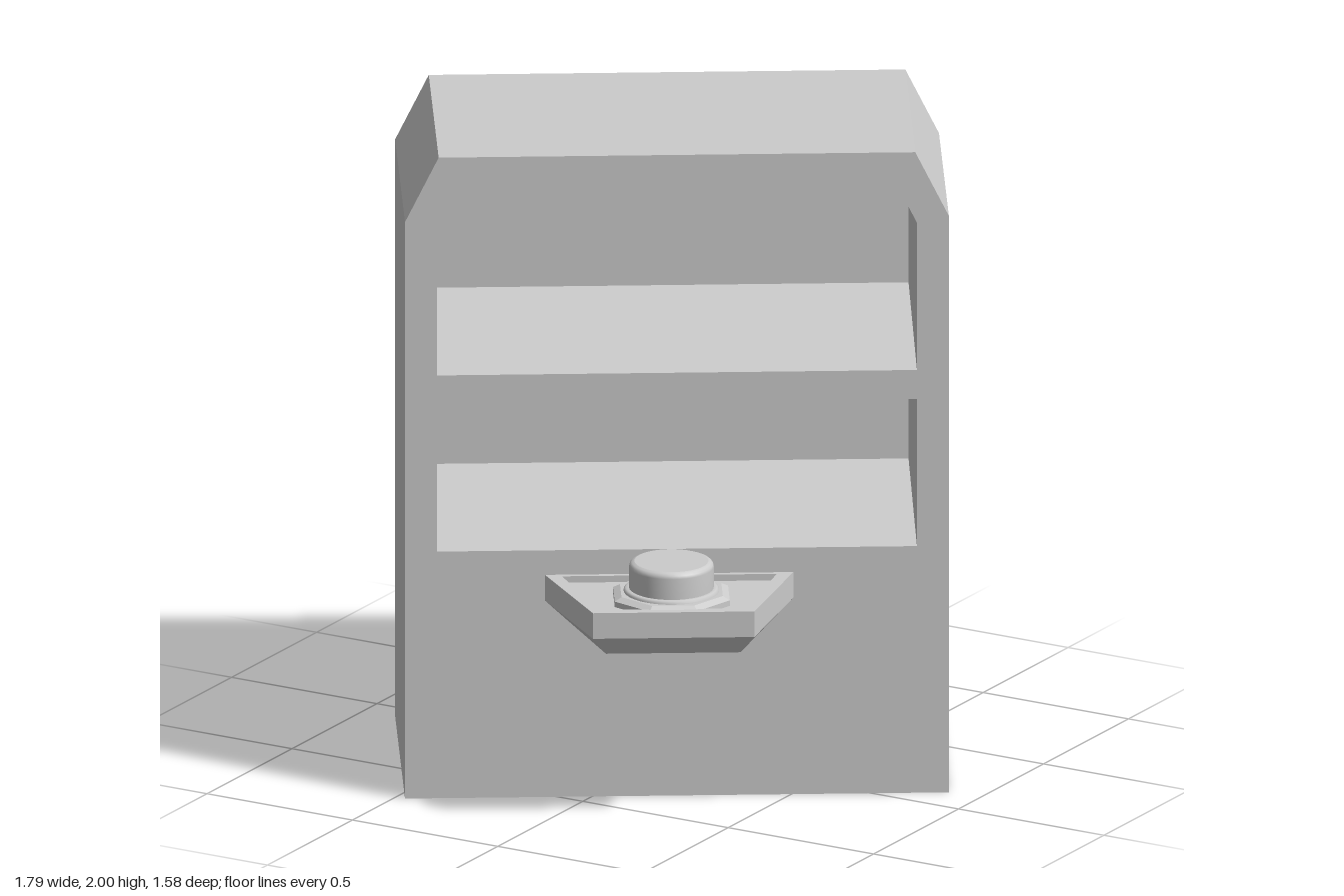
import * as THREE from 'three';

const material = new THREE.MeshStandardMaterial({ color: 0xcccccc, flatShading: true });
const smooth = new THREE.MeshStandardMaterial({ color: 0xcccccc });

const W = 0.808, BACK = -0.397, FRONT = 0.397, RECESS = -0.275;

function add(group, name, geometry, mat = material) {
  const mesh = new THREE.Mesh(geometry, mat);
  mesh.name = name;
  group.add(mesh);
  return mesh;
}

// Upright rectangle whose two top corners may be cut off
function panel(Type, half, y0, y1, cutX = 0, cutY = 0) {
  const points = [[-half, y0], [half, y0]];
  if (cutX) points.push([half, y1 - cutY], [half - cutX, y1], [cutX - half, y1], [-half, y1 - cutY]);
  else points.push([half, y1], [-half, y1]);
  return new Type(points.map(([x, y]) => new THREE.Vector2(x, y)));
}

function extrude(shape, z0, z1) {
  return new THREE.ExtrudeGeometry(shape, { depth: z1 - z0, bevelEnabled: false }).translate(0, 0, z0);
}

// Joins trapezoid rings [y, back half width, front half width, back z, front z] with flat faces and caps
function loftTrapezoids(sections) {
  const rings = sections.map(([y, hb, hf, zb, zf]) => [[-hb, y, zb], [-hf, y, zf], [hf, y, zf], [hb, y, zb]]);
  const out = [];
  const quad = (a, b, c, d) => out.push(...a, ...b, ...c, ...a, ...c, ...d);
  for (let r = 0; r < rings.length - 1; r++) {
    for (let i = 0; i < 4; i++) {
      const j = (i + 1) % 4;
      quad(rings[r][i], rings[r][j], rings[r + 1][j], rings[r + 1][i]);
    }
  }
  quad(...rings[0].slice().reverse());
  quad(...rings[rings.length - 1]);
  const geometry = new THREE.BufferGeometry();
  geometry.setAttribute('position', new THREE.Float32BufferAttribute(out, 3));
  geometry.computeVertexNormals();
  return geometry;
}

export function createModel() {
  const model = new THREE.Group();
  model.name = 'cabinetConsole';

  // Solid back of the cabinet
  add(model, 'cabinetBack', extrude(panel(THREE.Shape, W, 0, 2, 0.1, 0.2), BACK, RECESS));

  // Deep front with two open compartments
  const shape = panel(THREE.Shape, W, 0, 2, 0.1, 0.2);
  const floors = [0.77, 1.32];
  shape.holes.push(
    panel(THREE.Path, 0.713, floors[0], 1.23),
    panel(THREE.Path, 0.713, floors[1], 1.96, 0.09, 0.18)
  );
  const front = extrude(shape, RECESS, FRONT);
  // Raise the rear edge of each compartment floor so it slopes forward
  const pos = front.attributes.position;
  for (let i = 0; i < pos.count; i++) {
    const y = pos.getY(i);
    if (pos.getZ(i) < 0 && floors.some((f) => Math.abs(f - y) < 1e-4)) pos.setY(i, y + 0.055);
  }
  front.computeVertexNormals();
  add(model, 'cabinetFront', front);

  // Control tray with tapered underside and sunken top
  const controls = new THREE.Group();
  controls.name = 'controls';
  controls.position.x = -0.024;
  model.add(controls);
  add(controls, 'tray', loftTrapezoids([
    [0.56, 0.305, 0.2, 0.417, 0.75],
    [0.62, 0.369, 0.24, 0.417, 0.79],
    [0.7, 0.369, 0.24, 0.417, 0.79],
    [0.7, 0.319, 0.218, 0.433, 0.759],
    [0.68, 0.319, 0.218, 0.433, 0.759],
  ]));

  // Octagonal collar with a bevelled upper edge
  const collar = (name, rTop, rBottom, y0, y1) => {
    const geometry = new THREE.CylinderGeometry(rTop, rBottom, y1 - y0, 8).rotateY(Math.PI / 8);
    add(controls, name, geometry).position.set(0, (y0 + y1) / 2, 0.601);
  };
  collar('collarBase', 0.185, 0.185, 0.67, 0.697);
  collar('collarBevel', 0.163, 0.185, 0.697, 0.708);

  // Round push button with a foot ring and softened rim
  const profile = [
    [0.142, 0.7], [0.142, 0.712], [0.136, 0.718], [0.126, 0.718], [0.126, 0.718], [0.126, 0.782],
    [0.124, 0.791], [0.118, 0.797], [0.11, 0.8], [0.11, 0.8], [0, 0.8],
  ].map(([r, y]) => new THREE.Vector2(r, y));
  // Separate lathes keep the creases between foot, side and top sharp
  [['buttonFoot', 0, 4], ['buttonSide', 4, 9], ['buttonTop', 9, 11]].forEach(([name, a, b]) => {
    add(controls, name, new THREE.LatheGeometry(profile.slice(a, b), 40), smooth).position.z = 0.601;
  });

  // The whole unit stands turned toward its left
  model.rotation.y = 0.566;
  model.position.z = -0.025;
  const root = new THREE.Group();
  root.name = 'model';
  root.add(model);
  return root;
}
